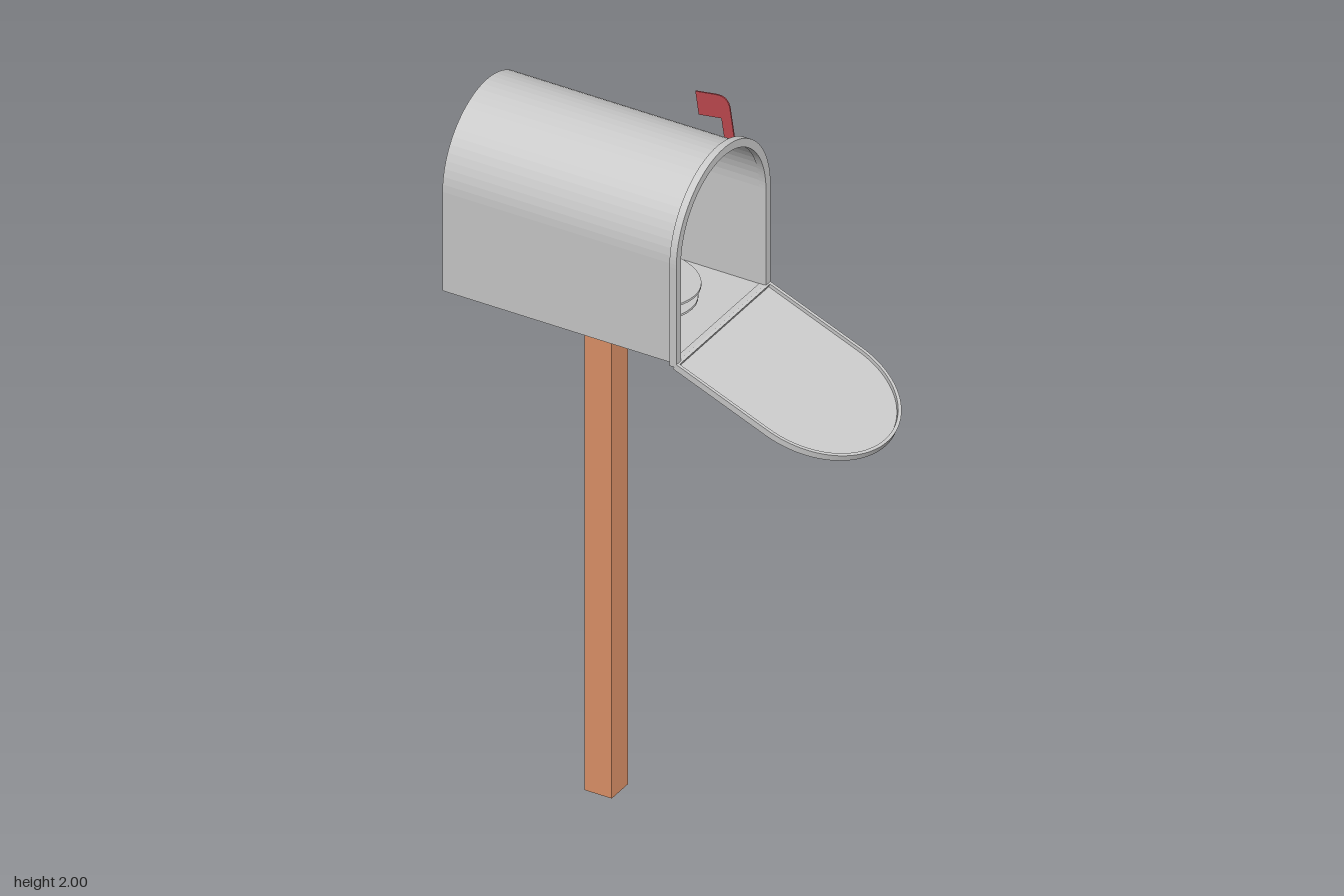
import * as THREE from 'three';

const grey = new THREE.MeshStandardMaterial({ color: 0xcccccc, side: THREE.DoubleSide });
const wood = new THREE.MeshStandardMaterial({ color: 0xe0946a });
const red = new THREE.MeshStandardMaterial({ color: 0xc04a50, side: THREE.DoubleSide });

const FLOOR = 1.475, SPRING = 1.768;

// Arch outline: straight sides from y = bottom to y = spring, then a half circle
function arch(Type, halfWidth, bottom, spring) {
  const p = new Type();
  p.moveTo(-halfWidth, bottom);
  p.lineTo(halfWidth, bottom);
  p.lineTo(halfWidth, spring);
  p.absarc(0, spring, halfWidth, 0, Math.PI, false);
  p.closePath();
  return p;
}

function extrude(shape, depth, curveSegments) {
  return new THREE.ExtrudeGeometry(shape, { depth, curveSegments, bevelEnabled: false });
}

// Extrude an arch along x, from x0 to x1, optionally hollow
function archAlongX(outerW, innerW, innerBottom, x0, x1, segments) {
  const shape = arch(THREE.Shape, outerW, FLOOR, SPRING);
  if (innerW) shape.holes.push(arch(THREE.Path, innerW, innerBottom, SPRING));
  return extrude(shape, x1 - x0, segments).rotateY(Math.PI / 2).translate(x0, 0, 0);
}

export function createModel() {
  const model = new THREE.Group();
  model.name = 'mailbox';
  const add = (name, geometry, material, parent = model) => {
    const mesh = new THREE.Mesh(geometry, material);
    mesh.name = name;
    parent.add(mesh);
    return mesh;
  };

  // Square wooden post
  add('post', new THREE.BoxGeometry(0.08, FLOOR, 0.08).translate(-0.24, FLOOR / 2, 0), wood);

  // Hollow body with a closed end, and a raised rim around the opening
  add('bodyShell', archAlongX(0.217, 0.211, FLOOR + 0.006, -0.582, 0.09, 16), grey);
  add('closedEnd', archAlongX(0.217, 0, 0, -0.59, -0.582, 16), grey);
  add('openingRim', archAlongX(0.232, 0.209, FLOOR + 0.008, 0.083, 0.103, 32), grey);

  // Oval mounting plate under the floor and two loose oval sheets inside
  const oval = (name, y, z, tilt) => {
    const g = new THREE.CylinderGeometry(1, 1, 0.006, 40).scale(0.2, 1, 0.15);
    const mesh = add(name, g, grey);
    mesh.position.set(-0.18, y, z);
    mesh.rotation.z = tilt;
  };
  oval('mountingPlate', FLOOR - 0.001, 0, 0);
  oval('lowerSheet', 1.502, 0.015, 0.03);
  oval('upperSheet', 1.53, 0, 0.03);

  // Open door: thin plate with an upturned lip, hinged at the bottom of the opening
  const door = new THREE.Group();
  door.name = 'door';
  const plate = arch(THREE.Shape, 0.231, 0, 0.292);
  const lip = arch(THREE.Shape, 0.231, 0, 0.292);
  lip.holes.push(arch(THREE.Path, 0.222, 0.008, 0.292));
  // Lay the arch down: its height runs along +x, its thickness along +y
  const lay = (g) => g.rotateZ(-Math.PI / 2).rotateX(-Math.PI / 2);
  add('doorPlate', lay(extrude(plate, 0.008, 32)), grey, door);
  add('doorLip', lay(extrude(lip, 0.018, 32)), grey, door);
  door.position.set(0.093, 1.468, 0);
  door.rotation.z = -0.389;
  model.add(door);

  // Signal flag on the back side: round pivot, leaning arm and square-ended pennant
  const flag = new THREE.Group();
  flag.name = 'flag';
  const pivot = new THREE.Shape().absarc(0, 0, 0.043, 0, Math.PI * 2, false);
  const arm = new THREE.Shape();
  arm.moveTo(0.015, 0);
  arm.lineTo(0.015, 0.235);
  arm.quadraticCurveTo(0.015, 0.272, -0.022, 0.272);
  arm.lineTo(-0.082, 0.272);
  arm.lineTo(-0.082, 0.205);
  arm.lineTo(-0.015, 0.205);
  arm.lineTo(-0.015, 0);
  arm.closePath();
  add('flagPivot', extrude(pivot, 0.004, 24), red, flag);
  add('flagArm', extrude(arm, 0.004, 8), red, flag);
  flag.position.set(0.013, 1.73, -0.2215);
  flag.rotation.z = 0.15;
  model.add(flag);

  return model;
}
